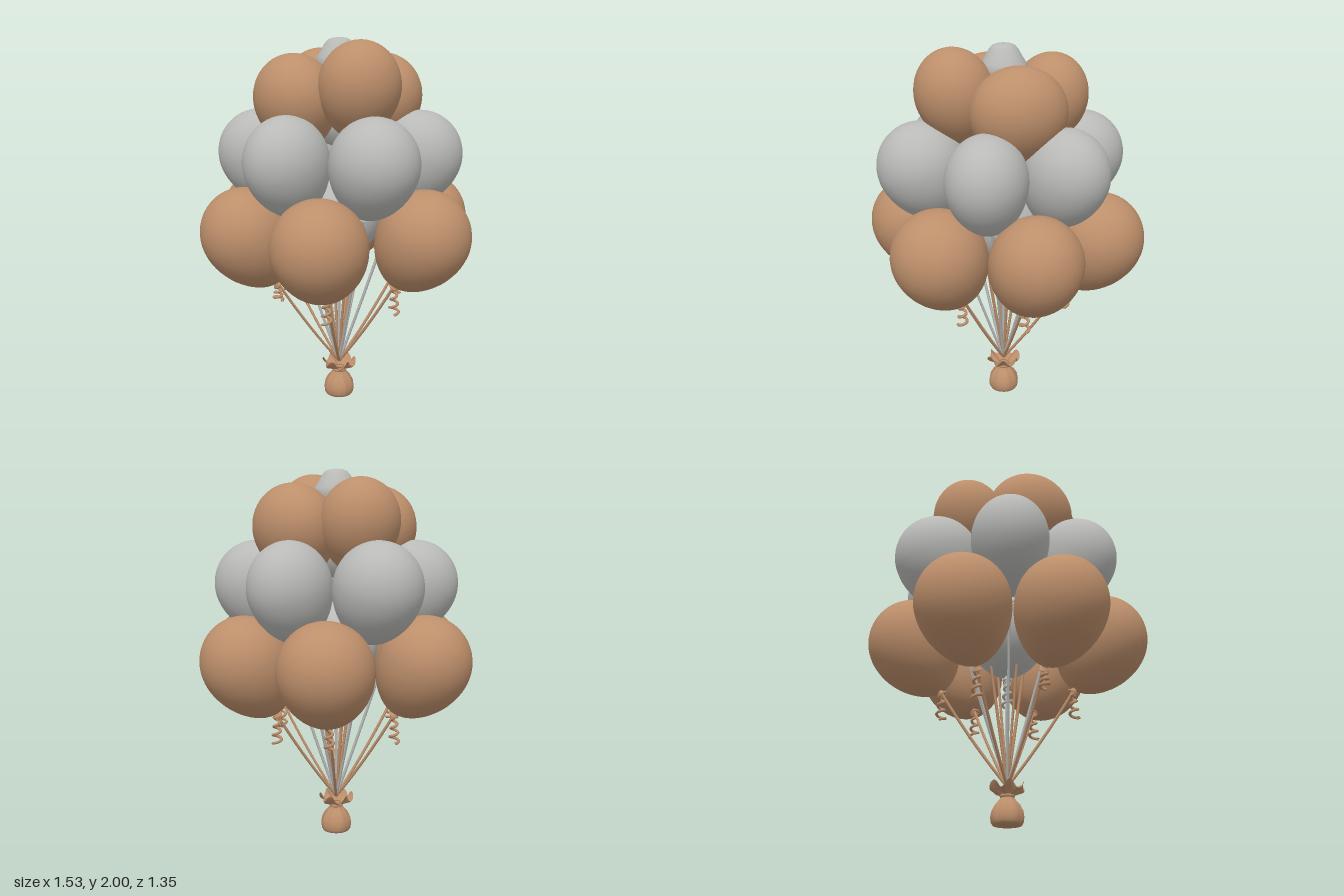
import * as THREE from 'three';

const copper = new THREE.MeshStandardMaterial({ color: 0xbd8f6b, side: THREE.DoubleSide });
copper.name = 'copper';
const silver = new THREE.MeshStandardMaterial({ color: 0xb9b9b7, side: THREE.DoubleSide });
silver.name = 'silver';

const V = (x, y, z) => new THREE.Vector3(x, y, z);
const TIE = V(0, 0.2, 0);

function mesh(name, geometry, material, parent) {
  const m = new THREE.Mesh(geometry, material);
  m.name = name;
  parent.add(m);
  return m;
}

function lathe(points, segments = 40) {
  return new THREE.LatheGeometry(points.map(([r, y]) => new THREE.Vector2(r, y)), segments);
}

// Round top, longer tapering bottom; the widest ring sits at y = 0
function balloonGeometry(radius, up, down) {
  const pts = [];
  for (let i = 0; i <= 32; i++) {
    const t = Math.PI * (1 - i / 32);
    const c = Math.cos(t);
    const taper = c < 0 ? 1 - 0.14 * c * c : 1;
    pts.push([Math.max(0, radius * Math.sin(t) * taper), c < 0 ? c * down : c * up]);
  }
  return lathe(pts);
}

// Balloon with its knot, leaning outward; returns the knot position
function addBalloon(root, o) {
  const g = new THREE.Group();
  g.name = o.name;
  g.position.set(o.x, o.y, o.z);
  g.rotation.order = 'YXZ';
  g.rotation.y = Math.atan2(o.x, o.z);
  g.rotation.x = o.tilt;
  root.add(g);
  const body = mesh('balloonSkin', balloonGeometry(o.r, o.up, o.down), o.mat, g);
  body.scale.z = (o.depth ?? o.r) / o.r;
  const knot = mesh('balloonKnot', lathe([
    [0.024, -0.026], [0.028, -0.02], [0.012, -0.006], [0.012, 0.002], [0.03, 0.02]], 14), o.mat, g);
  knot.position.y = -o.down;
  g.updateMatrixWorld(true);
  return V(0, -o.down - 0.015, 0).applyMatrix4(g.matrixWorld);
}

// Cord from the tied neck up to a knot, sagging a little
function addString(root, knot, mat) {
  const mid = TIE.clone().lerp(knot, 0.5);
  mid.y -= 0.1 * Math.hypot(knot.x, knot.z);
  const curve = new THREE.QuadraticBezierCurve3(TIE, mid, knot);
  mesh('string', new THREE.TubeGeometry(curve, 14, 0.008, 6), mat, root);
}

// Curled ribbon end hanging below a knot
function addCurl(root, knot, mat, length, phase) {
  const pts = [knot.clone()];
  for (let i = 0; i <= 30; i++) {
    const a = phase + i / 30 * Math.PI * 6;
    const r = 0.012 + 0.014 * i / 30;
    pts.push(V(knot.x + r * Math.cos(a), knot.y - 0.015 - length * i / 30, knot.z + r * Math.sin(a)));
  }
  mesh('ribbonCurl', new THREE.TubeGeometry(new THREE.CatmullRomCurve3(pts), 70, 0.008, 6), mat, root);
}

export function createModel() {
  const root = new THREE.Group();
  root.name = 'balloonBouquet';

  // Lower ring: six copper balloons
  const lower = [[0.525, 0], [-0.525, 0], [0.288, 0.43], [-0.288, 0.43], [0.288, -0.43], [-0.288, -0.43]];
  lower.forEach(([x, z], i) => {
    const knot = addBalloon(root, {
      name: 'lowerBalloon', x, y: 1.0, z, tilt: 0.52, r: z ? 0.244 : 0.237, up: 0.25, down: 0.32, mat: copper });
    addString(root, knot, copper);
    addCurl(root, knot, copper, i === 1 ? 0.08 : 0.14, i);
  });

  // Middle ring: six silver balloons
  const middle = [[0, 0.44], [0, -0.44], [0.37, 0.205], [-0.37, 0.205], [0.37, -0.205], [-0.37, -0.205]];
  middle.forEach(([x, z]) => {
    const knot = addBalloon(root, {
      name: 'middleBalloon', x, y: 1.395, z, tilt: 0.4, r: x ? 0.205 : 0.225, depth: 0.232, up: 0.235, down: 0.3, mat: silver });
    addString(root, knot, silver);
  });

  // Upper ring: four copper balloons
  const upper = [
    { x: 0, y: 1.76, z: 0.26, r: 0.21, depth: 0.205, up: 0.23 },
    { x: 0, y: 1.72, z: -0.255, r: 0.21, depth: 0.2, up: 0.225 },
    { x: 0.245, y: 1.69, z: 0, r: 0.247, depth: 0.213, up: 0.232 },
    { x: -0.245, y: 1.69, z: 0, r: 0.247, depth: 0.213, up: 0.232 }];
  upper.forEach((o) => {
    const knot = addBalloon(root, { name: 'upperBalloon', ...o, tilt: 0.22, down: 0.27, mat: copper });
    addString(root, knot, copper);
  });

  // Centre balloon low in the cluster
  const centreKnot = addBalloon(root, {
    name: 'centreBalloon', x: 0, y: 1.06, z: 0, tilt: 0, r: 0.225, up: 0.24, down: 0.26, mat: silver });
  addString(root, centreKnot, silver);
  addCurl(root, centreKnot, silver, 0.14, 0);

  // Crown balloon squeezed between the upper ring
  mesh('crownBalloon', lathe([
    [0, 1.42], [0.07, 1.45], [0.12, 1.54], [0.12, 1.66], [0.1, 1.78], [0.118, 1.84], [0.125, 1.87],
    [0.117, 1.9], [0.095, 1.935], [0.076, 1.968], [0.058, 1.988], [0.035, 1.997], [0, 2]]), silver, root);

  // Weight sack with soft pleats gathering toward the neck
  const sack = lathe([
    [0, 0.004], [0.05, 0.002], [0.074, 0.006], [0.082, 0.02], [0.085, 0.045], [0.08, 0.075],
    [0.064, 0.105], [0.045, 0.127], [0.03, 0.145], [0.028, 0.165]], 48);
  const sp = sack.attributes.position;
  for (let i = 0; i < sp.count; i++) {
    const a = Math.atan2(sp.getX(i), sp.getZ(i));
    const k = 1 + 0.05 * Math.cos(8 * a) * Math.min(1, sp.getY(i) / 0.12);
    sp.setXYZ(i, sp.getX(i) * k, sp.getY(i), sp.getZ(i) * k);
  }
  sack.computeVertexNormals();
  mesh('weightSack', sack, copper, root);

  // Ruffled cloth flaring above the neck
  const ruffle = lathe([[0.028, 0.145], [0.034, 0.158], [0.055, 0.172], [0.078, 0.186], [0.088, 0.2]], 60);
  const rp = ruffle.attributes.position;
  for (let i = 0; i < rp.count; i++) {
    const a = Math.atan2(rp.getX(i), rp.getZ(i));
    const f = (rp.getY(i) - 0.145) / 0.055;
    const wave = Math.cos(6 * a + 0.5) * f;
    const k = 1 + 0.1 * wave;
    rp.setXYZ(i, rp.getX(i) * k, rp.getY(i) + 0.022 * Math.sin(6 * a + 0.5) * f, rp.getZ(i) * k);
  }
  ruffle.computeVertexNormals();
  mesh('sackRuffle', ruffle, copper, root);

  // Cord wound around the neck
  const tie = mesh('neckTie', new THREE.TorusGeometry(0.03, 0.009, 8, 24), copper, root);
  tie.rotation.x = Math.PI / 2;
  tie.position.y = 0.15;
  return root;
}
